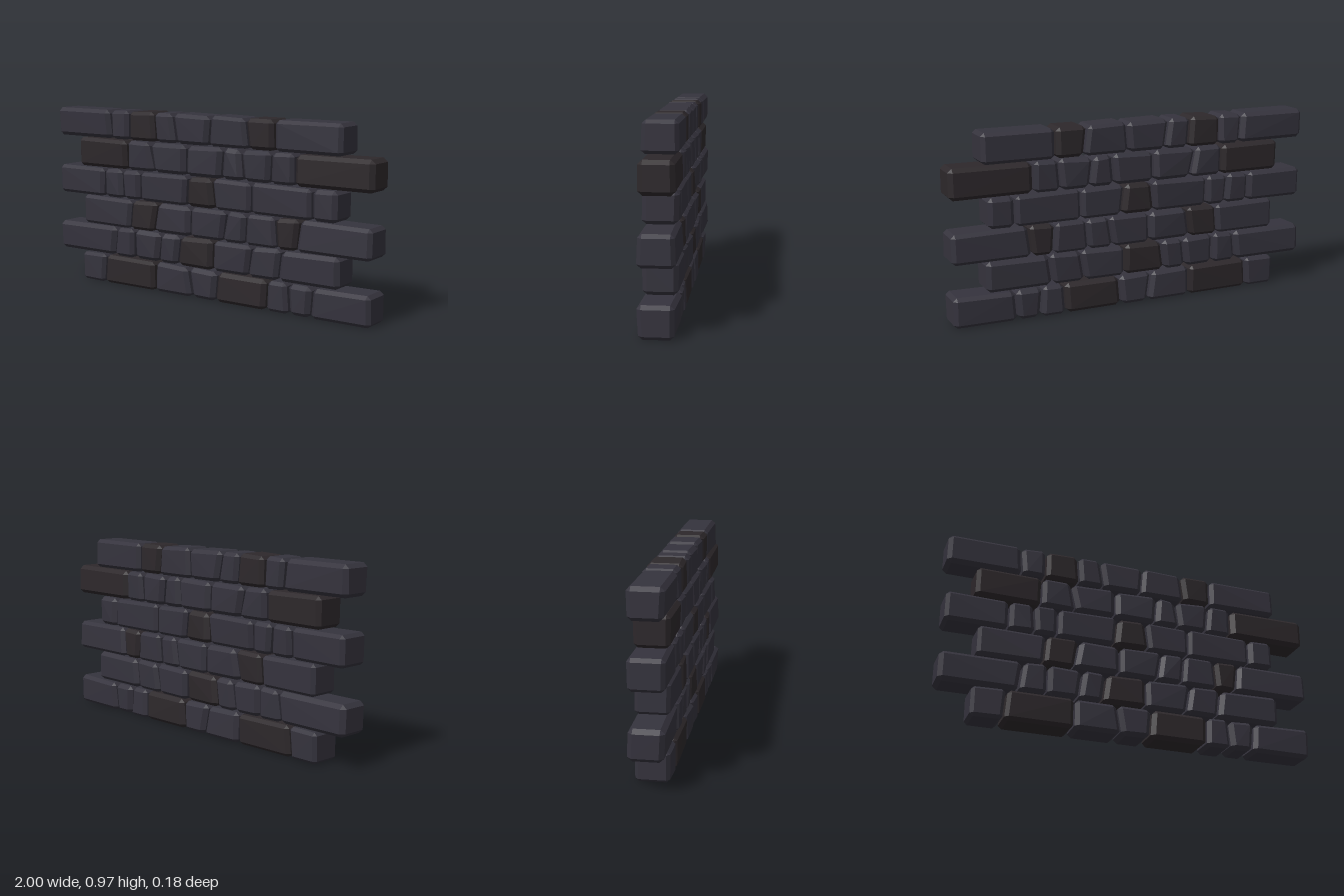
import * as THREE from 'three';
import { ConvexGeometry } from 'three/addons/geometries/ConvexGeometry.js';

// Each course: bottom and top height, edges (two ends and the joints between),
// lean of each edge (top minus bottom), and which stones are darker.
const COURSES = [
  { y: [0.003, 0.162], dark: [1, 4],
    x: [-0.83, -0.66, -0.308, -0.073, 0.098, 0.407, 0.535, 0.67, 0.995],
    lean: [0, 0.01, 0, -0.02, 0.01, 0.005, -0.01, 0.01, 0] },
  { y: [0.165, 0.325], dark: [4],
    x: [-0.998, -0.587, -0.452, -0.277, -0.15, 0.073, 0.307, 0.482, 0.822],
    lean: [0, 0.015, 0, 0.015, 0.015, 0, 0.02, 0.015, 0] },
  { y: [0.328, 0.487], dark: [1, 6],
    x: [-0.815, -0.47, -0.302, -0.07, 0.15, 0.282, 0.463, 0.59, 0.995],
    lean: [0, 0.01, 0.02, 0, 0.02, 0.01, -0.01, 0.015, 0] },
  { y: [0.49, 0.648], dark: [4],
    x: [-0.987, -0.663, -0.53, -0.407, -0.092, 0.08, 0.313, 0.665, 0.805],
    lean: [0, 0, -0.01, 0, 0.01, -0.015, 0, 0, 0] },
  { y: [0.651, 0.811], dark: [0, 7],
    x: [-0.84, -0.497, -0.327, -0.097, 0.132, 0.255, 0.428, 0.565, 0.998],
    lean: [0, 0, -0.025, 0, 0.01, -0.015, 0.01, 0, 0] },
  { y: [0.814, 0.972], dark: [2, 6],
    x: [-0.995, -0.61, -0.48, -0.302, -0.172, 0.053, 0.284, 0.447, 0.83],
    lean: [0, -0.01, 0, -0.01, -0.02, 0.01, -0.015, 0, 0] },
];
const DEPTH = 0.084;
const GAP = 0.005;

function seeded(seed) {
  let s = seed;
  return () => (s = (s * 16807) % 2147483647) / 2147483647;
}

// Chamfered stone: each box corner becomes three points, one on each face.
function stoneGeometry(left, right, leanL, leanR, y0, y1, rand) {
  const points = [];
  const bevel = 0.017 + rand() * 0.006;
  const slope = (rand() - 0.5) * 0.006;
  for (const sx of [-1, 1]) for (const sy of [-1, 1]) for (const sz of [-1, 1]) {
    const edge = sx < 0 ? left + GAP : right - GAP;
    const lean = sx < 0 ? leanL : leanR;
    const x = edge + sy * lean / 2;
    const y = (sy < 0 ? y0 : y1 - 0.003 + sx * slope);
    const z = sz * (DEPTH - 0.004 + rand() * 0.009);
    const bx = sx * bevel, by = sy * bevel * 0.9, bz = sz * bevel;
    points.push(
      new THREE.Vector3(x, y - by, z - bz),
      new THREE.Vector3(x - bx, y, z - bz),
      new THREE.Vector3(x - bx, y - by, z),
    );
  }
  return new ConvexGeometry(points);
}

export function createModel() {
  const wall = new THREE.Group();
  wall.name = 'stoneWall';
  const plain = new THREE.MeshStandardMaterial({ color: 0x35333d, flatShading: true });
  const darker = new THREE.MeshStandardMaterial({ color: 0x2d282b, flatShading: true });
  const rand = seeded(4217);

  COURSES.forEach(({ y, x, lean, dark }, row) => {
    const course = new THREE.Group();
    course.name = `course${row + 1}`;
    for (let i = 0; i < x.length - 1; i++) {
      // outer ends reach the full edge, so undo the joint gap there
      const left = i === 0 ? x[i] - GAP : x[i];
      const right = i === x.length - 2 ? x[i + 1] + GAP : x[i + 1];
      const stone = new THREE.Mesh(
        stoneGeometry(left, right, lean[i], lean[i + 1], y[0], y[1], rand),
        dark.includes(i) ? darker : plain,
      );
      stone.name = `stone${i + 1}`;
      course.add(stone);
    }
    wall.add(course);
  });
  return wall;
}
